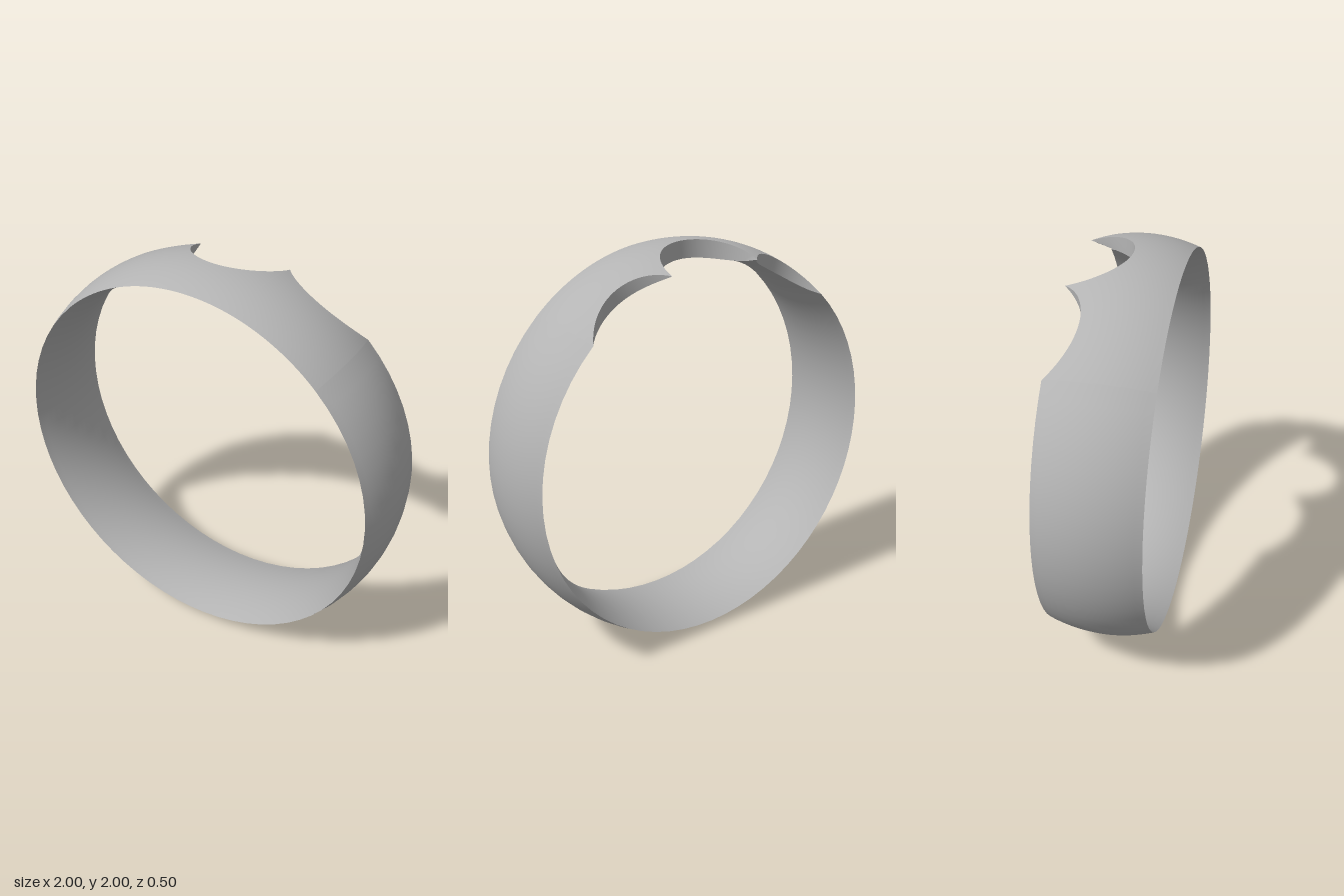
import * as THREE from 'three';

const RAD = Math.PI / 180;
const HALF = 0.25;            // half the band width
const RIM = 0.956;            // radius where outer and inner surfaces meet
const TIP = 14.85 * RAD, END = 44.1 * RAD;

// Lens-shaped cross-section
const bulge = z => 0.044 * (1 - (z / HALF) ** 2);
const outerR = z => RIM + bulge(z);
const innerR = z => RIM - bulge(z);

// Round notch between two rim angles, cut along an axis tilted by phi
function notch(from, to, phi, depth) {
  const a = RIM * Math.sin(from - phi), b = RIM * Math.sin(to - phi);
  const mid = (a + b) / 2, half = (b - a) / 2;
  const R = (half * half + depth * depth) / (2 * depth);
  const zc = depth - HALF - R;
  return (r, theta) => {
    const u = r * Math.sin(theta - phi) - mid;
    return Math.abs(u) > R ? -HALF : zc + Math.sqrt(R * R - u * u);
  };
}
const middleNotch = notch(-TIP, TIP, 0, 0.26);
const sideNotch = notch(TIP, END, 9 * RAD, 0.12);

// Back edge of a surface at a given angle
function backEdge(radius, theta) {
  const t = Math.abs(theta);
  if (t > END - 1e-6 || Math.abs(t - TIP) < 1e-6) return -HALF;
  const cut = t < TIP ? middleNotch : sideNotch;
  let lo = -HALF, hi = 0.2;
  if (cut(radius(lo), t) <= lo) return lo;
  for (let k = 0; k < 30; k++) {
    const m = (lo + hi) / 2;
    if (cut(radius(m), t) > m) lo = m; else hi = m;
  }
  return lo;
}

// Angles from a to b, optionally crowded toward both ends
function span(a, b, n, crowd) {
  return Array.from({ length: n + 1 }, (_, i) => {
    const f = crowd ? (1 - Math.cos(Math.PI * i / n)) / 2 : i / n;
    return a + (b - a) * f;
  });
}

const at = (r, theta, z) => [r * Math.sin(theta), 1 + r * Math.cos(theta), z];

// Grid surface over angles and rows
function surface(thetas, rows, point, closed, flip) {
  const pos = [], idx = [], n = thetas.length, w = rows + 1;
  for (const th of thetas) for (let j = 0; j <= rows; j++) pos.push(...point(th, j / rows));
  for (let i = 0; i < (closed ? n : n - 1); i++) {
    for (let j = 0; j < rows; j++) {
      const a = i * w + j, b = ((i + 1) % n) * w + j;
      if (flip) idx.push(a, a + 1, b, b, a + 1, b + 1);
      else idx.push(a, b, a + 1, b, b + 1, a + 1);
    }
  }
  const g = new THREE.BufferGeometry();
  g.setAttribute('position', new THREE.Float32BufferAttribute(pos, 3));
  g.setIndex(idx);
  g.computeVertexNormals();
  return g;
}

export function createModel() {
  const group = new THREE.Group();
  group.name = 'notchedRing';
  const metal = new THREE.MeshStandardMaterial({ color: 0xb4b4b4 });
  metal.name = 'grey metal';
  const add = (name, geometry) => {
    const mesh = new THREE.Mesh(geometry, metal);
    mesh.name = name;
    group.add(mesh);
  };

  const notches = {
    rightNotchWall: span(-END, -TIP, 28, true),
    middleNotchWall: span(-TIP, TIP, 36, true),
    leftNotchWall: span(TIP, END, 28, true),
  };
  const plain = span(END, 2 * Math.PI - END, 50, false);
  const around = [...Object.values(notches), plain].flatMap(list => list.slice(0, -1));

  // Band surfaces, trimmed at the notches
  const band = radius => (theta, t) => {
    const z0 = backEdge(radius, theta), z = z0 + (HALF - z0) * t;
    return at(radius(z), theta, z);
  };
  add('outerBand', surface(around, 14, band(outerR), true, true));
  add('innerBand', surface(around, 14, band(innerR), true, false));

  // Walls joining outer and inner surfaces inside each notch
  for (const [name, thetas] of Object.entries(notches)) {
    add(name, surface(thetas, 1, (theta, t) => {
      const radius = t < 0.5 ? outerR : innerR;
      const z = backEdge(radius, theta);
      return at(radius(z), theta, z);
    }, false, false));
  }
  return group;
}
